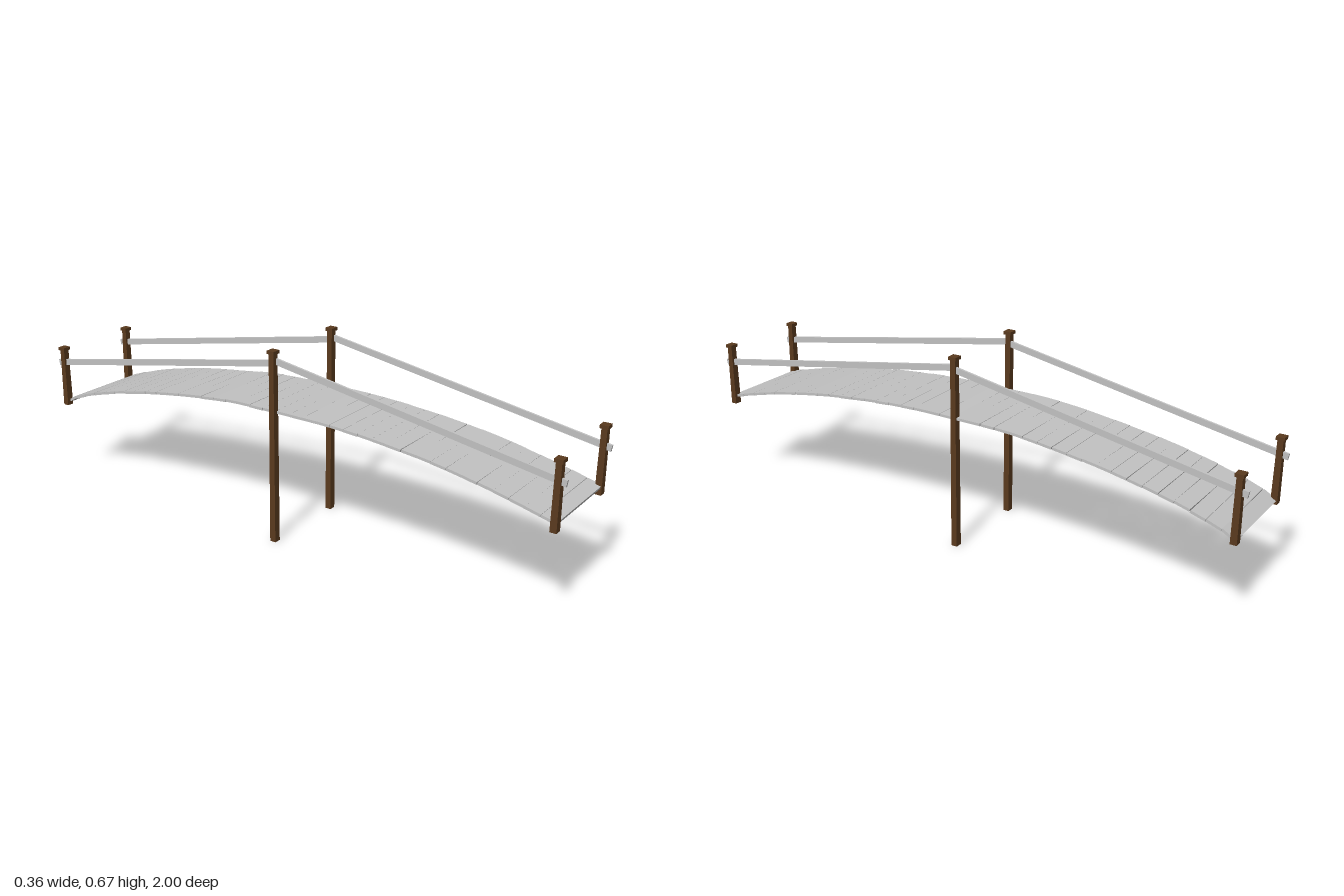
import * as THREE from 'three';

export function createModel() {
  const bridge = new THREE.Group();
  bridge.name = 'footbridge';
  const wood = new THREE.MeshStandardMaterial({ color: 0x5a3a1e });
  wood.name = 'brown timber';
  const grey = new THREE.MeshStandardMaterial({ color: 0xc2c2c2 });
  grey.name = 'weathered grey planks';

  // small seeded generator for hand-laid irregularity, -1..1
  let seed = 7;
  const jitter = () => {
    seed = (seed * 16807) % 2147483647;
    return (seed / 2147483647) * 2 - 1;
  };

  function add(parent, name, geometry, material) {
    const mesh = new THREE.Mesh(geometry, material);
    mesh.name = name;
    parent.add(mesh);
    return mesh;
  }

  // slightly tapered square post with a wider cap
  function addPost(name, x, z, bottom, top) {
    const post = new THREE.Group();
    post.name = name;
    const capHeight = 0.011;
    const height = top - capHeight - bottom;
    const shaft = new THREE.BoxGeometry(0.0245, height, 0.0215);
    const p = shaft.attributes.position;
    for (let i = 0; i < p.count; i++) {
      if (p.getY(i) > 0) p.setXYZ(i, p.getX(i) * 0.88, p.getY(i), p.getZ(i) * 0.88);
    }
    shaft.computeVertexNormals();
    add(post, 'shaft', shaft, wood).position.y = bottom + height / 2;
    add(post, 'cap', new THREE.BoxGeometry(0.03, capHeight, 0.028), wood).position.y = top - capHeight / 2;
    post.position.set(x, 0, z);
    bridge.add(post);
  }

  // straight handrail between two points
  function addRail(name, from, to) {
    const a = new THREE.Vector3(...from), b = new THREE.Vector3(...to);
    const rail = add(bridge, name, new THREE.BoxGeometry(0.008, 0.021, a.distanceTo(b)), grey);
    rail.position.copy(a).add(b).multiplyScalar(0.5);
    rail.lookAt(b);
  }

  for (const [side, frontX, midX, backX] of [['right', -0.154, -0.167, -0.167], ['left', 0.165, 0.156, 0.152]]) {
    addPost(side + 'FrontPost', frontX, 0.973, 0.309, 0.533);
    addPost(side + 'MiddlePost', midX, -0.005, 0, 0.666);
    addPost(side + 'BackPost', backX, -0.968, 0.284, 0.505);
    addRail(side + 'FrontRail', [frontX, 0.462, 0.998], [midX + 0.006, 0.631, -0.008]);
    addRail(side + 'BackRail', [midX + 0.003, 0.624, 0], [backX, 0.443, -0.995]);
  }

  // deck line in side profile: [z, y]
  const profile = [
    [0.98, 0.334], [0.8, 0.378], [0.6, 0.417], [0.4, 0.441], [0.2, 0.455], [0, 0.457],
    [-0.2, 0.454], [-0.4, 0.433], [-0.6, 0.403], [-0.8, 0.358], [-0.935, 0.313], [-0.972, 0.292],
  ];
  const curve = new THREE.CatmullRomCurve3(
    profile.map(([z, y]) => new THREE.Vector3(0.005 * z, y, z)), false, 'centripetal');

  // planks laid crosswise along the curve
  const deck = new THREE.Group();
  deck.name = 'deck';
  bridge.add(deck);
  const count = 38;
  const pitch = curve.getLength() / count;
  for (let i = 0; i < count; i++) {
    const t = (i + 0.5) / count;
    const depth = pitch * (0.985 + 0.02 * jitter());
    const plank = add(deck, 'plank', new THREE.BoxGeometry(0.323 + 0.003 * jitter(), 0.009, depth), grey);
    const tangent = curve.getTangentAt(t);
    plank.position.copy(curve.getPointAt(t));
    plank.rotation.set(Math.atan2(tangent.y, -tangent.z), 0.007 * jitter(), 0.004 * jitter());
  }
  return bridge;
}
